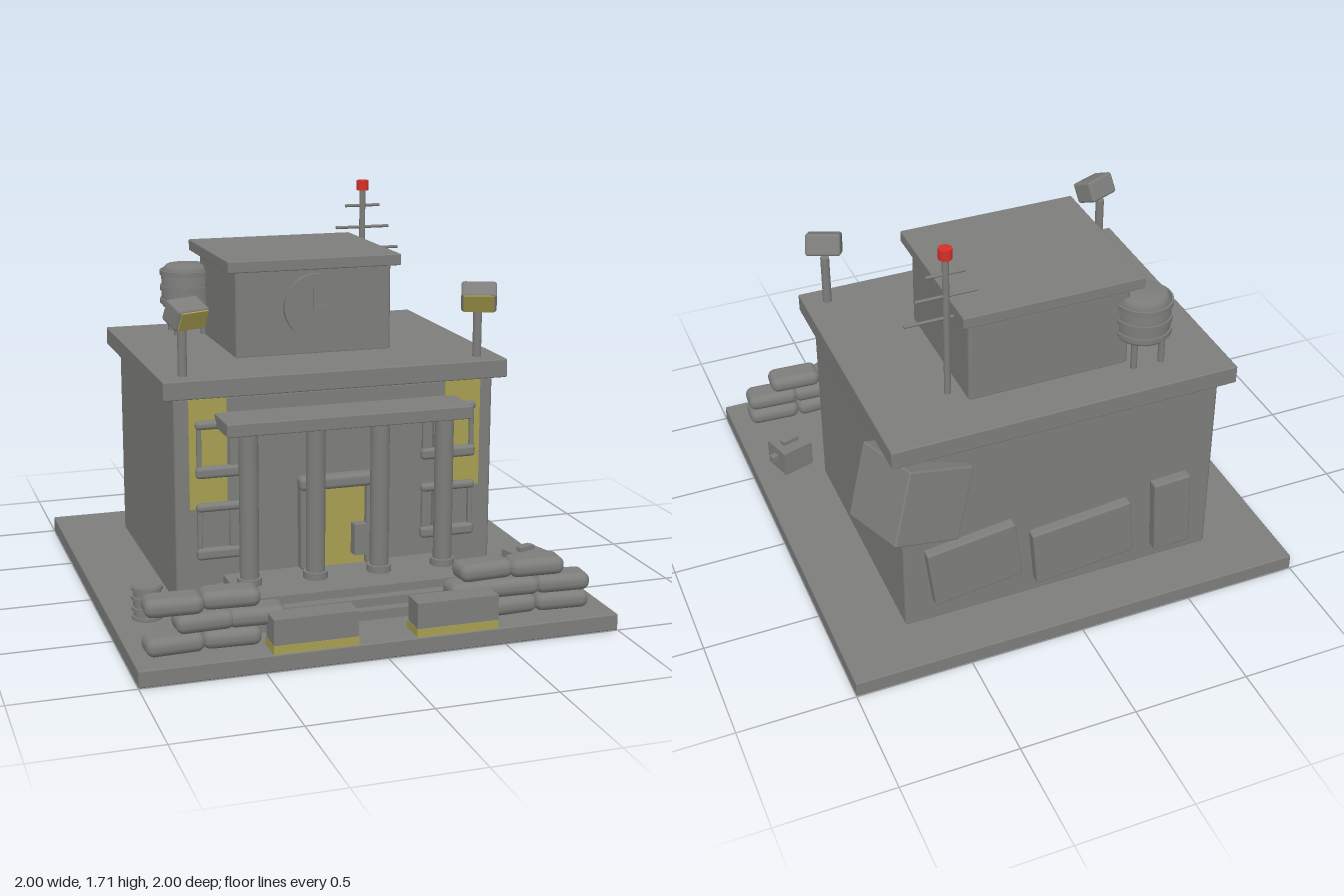
import * as THREE from 'three';
import { RoundedBoxGeometry } from 'three/addons/geometries/RoundedBoxGeometry.js';

export function createModel() {
  const root = new THREE.Group();
  root.name = 'civicBuilding';
  const material = (name, color) => {
    const m = new THREE.MeshStandardMaterial({ color });
    m.name = name;
    return m;
  };
  const gray = material('concreteGray', 0x7d7d7b);
  const yellow = material('dullYellow', 0xa89f50);
  const red = material('signalRed', 0xd62f28);

  const add = (name, geo, x, y, z, mat = gray, parent = root) => {
    const mesh = new THREE.Mesh(geo, mat);
    mesh.name = name;
    mesh.position.set(x, y, z);
    parent.add(mesh);
    return mesh;
  };
  // Box given by its limits on each axis; r > 0 rounds the edges
  const block = (name, x0, x1, y0, y1, z0, z1, r = 0, mat = gray) => {
    const s = [x1 - x0, y1 - y0, z1 - z0];
    const geo = r ? new RoundedBoxGeometry(...s, 2, r) : new THREE.BoxGeometry(...s);
    return add(name, geo, (x0 + x1) / 2, (y0 + y1) / 2, (z0 + z1) / 2, mat);
  };
  const cyl = (name, r, h, x, y, z, sides = 20, mat = gray, parent = root) =>
    add(name, new THREE.CylinderGeometry(r, r, h, sides), x, y, z, mat, parent);
  const group = (name, x, y, z) => {
    const g = new THREE.Group();
    g.name = name;
    g.position.set(x, y, z);
    root.add(g);
    return g;
  };

  // Ground slab, main hall and roof tower
  block('groundSlab', -1, 1, 0, 0.07, -1, 1, 0.006);
  block('mainHall', -0.7, 0.7, 0.06, 0.95, -0.76, 0.35, 0.015);
  block('mainRoof', -0.75, 0.75, 0.95, 1.03, -0.815, 0.39, 0.006);
  block('tower', -0.35, 0.35, 1.02, 1.41, -0.61, 0.03, 0.015);
  block('towerRoof', -0.39, 0.385, 1.4, 1.45, -0.65, 0.06, 0.005);

  // Clock
  cyl('clockFace', 0.14, 0.03, 0, 1.24, 0.035, 40).rotation.x = Math.PI / 2;
  block('minuteHand', -0.01, 0.005, 1.22, 1.33, 0.05, 0.058);
  block('hourHand', -0.01, 0.075, 1.225, 1.242, 0.05, 0.058);

  // Porch steps, columns and canopy
  [[0.585, 0.07, 0.11, 0.76], [0.53, 0.1, 0.145, 0.715], [0.5, 0.14, 0.18, 0.67]]
    .forEach(([w, y0, y1, z]) => block('porchStep', -w, w, y0, y1, 0.3, z));
  block('porchCanopy', -0.53, 0.525, 0.825, 0.88, 0.34, 0.56, 0.005);
  for (const x of [-0.425, -0.14, 0.14, 0.425]) {
    cyl('column', 0.04, 0.66, x, 0.5, 0.49, 24);
    cyl('columnBase', 0.052, 0.03, x, 0.195, 0.49, 24);
  }

  // Door with frame
  block('door', -0.115, 0.115, 0.18, 0.525, 0.34, 0.37, 0, yellow);
  block('doorLintel', -0.18, 0.18, 0.525, 0.585, 0.34, 0.41, 0.02);
  for (const s of [-1, 1]) block('doorJamb', s * 0.145 - 0.03, s * 0.145 + 0.03, 0.18, 0.54, 0.34, 0.4, 0.012);
  block('doorPlate', 0.055, 0.11, 0.23, 0.365, 0.36, 0.42);

  // Windows and painted wall strips, on both sides of the porch
  for (const s of [-1, 1]) {
    add('paintedStrip', new THREE.BoxGeometry(0.16, 0.465, 0.009), s * 0.56, 0.71, 0.354, yellow);
    for (const y of [0.635, 0.285]) {
      for (const [dy, h] of [[0, 0.05], [0.2, 0.036]])
        add('windowSill', new RoundedBoxGeometry(0.245, h, 0.04, 3, 0.016), s * 0.493, y + dy, 0.365);
      for (const x of [0.4, 0.45])
        add('windowShutter', new RoundedBoxGeometry(0.045, 0.18, 0.025, 2, 0.008), s * x, y + 0.1, 0.36);
      add('windowJamb', new RoundedBoxGeometry(0.02, 0.2, 0.025, 2, 0.006), s * 0.6, y + 0.1, 0.36);
    }
  }

  // Boards on the back wall
  for (const [x, y, w, h, tilt] of [[0.405, 0.34, 0.39, 0.28, -0.12], [-0.085, 0.295, 0.45, 0.27, -0.09], [-0.5, 0.325, 0.17, 0.36, -0.05]])
    add('backBoard', new RoundedBoxGeometry(w, h, 0.05, 2, 0.008), x, y, -0.785).rotation.z = tilt;

  // Tilted crate stuck into the rear corner
  const cornerCrate = add('cornerCrate', new RoundedBoxGeometry(0.32, 0.32, 0.32, 2, 0.008), 0.64, 0.735, -0.71);
  cornerCrate.quaternion.setFromRotationMatrix(new THREE.Matrix4().makeBasis(
    new THREE.Vector3(0.91, 0.34, -0.22).normalize(),
    new THREE.Vector3(-0.297, 0.926, 0.204).normalize(),
    new THREE.Vector3(0.28, -0.12, 0.95).normalize()));

  // Roof antenna
  const antenna = group('antenna', 0.41, 0, -0.53);
  cyl('mast', 0.014, 0.64, 0, 1.35, 0, 12, gray, antenna);
  cyl('beacon', 0.028, 0.045, 0, 1.683, 0, 16, red, antenna);
  for (const [y, w] of [[1.59, 0.165], [1.49, 0.255], [1.39, 0.35]])
    cyl('crossBar', 0.007, w, 0, y, 0, 8, gray, antenna).rotation.z = Math.PI / 2;

  // Water tank on four legs
  const tank = group('waterTank', -0.415, 0, -0.595);
  const tankProfile = [[0, 1.155], [0.11, 1.155], [0.115, 1.165], [0.115, 1.32], [0.09, 1.345], [0, 1.345]];
  add('tankBody', new THREE.LatheGeometry(tankProfile.map(p => new THREE.Vector2(...p)), 28), 0, 0, 0, gray, tank);
  for (const y of [1.18, 1.24, 1.31]) cyl('tankBand', 0.122, 0.022, 0, y, 0, 28, gray, tank);
  for (const sx of [-1, 1]) for (const sz of [-1, 1])
    cyl('tankLeg', 0.014, 0.14, sx * 0.062, 1.095, sz * 0.062, 10, gray, tank);

  // Floodlights on the front roof corners, turned inward
  for (const s of [-1, 1]) {
    const light = group('floodlight', s * 0.647, 1.03, 0.295);
    cyl('lightPole', 0.019, 0.22, 0, 0.11, 0, 14, gray, light);
    const head = new THREE.Group();
    head.name = 'lightHead';
    head.position.set(-s * 0.01, 0.265, 0.035);
    head.rotation.set(0.42, -s * 0.4, 0, 'YXZ');
    light.add(head);
    add('lightHousing', new RoundedBoxGeometry(0.15, 0.095, 0.105, 2, 0.012), 0, 0, 0, gray, head);
    add('lightLens', new THREE.BoxGeometry(0.13, 0.08, 0.009), 0, 0, 0.054, yellow, head);
  }

  // Concrete barriers with a yellow foot
  for (const s of [-1, 1]) {
    add('barrier', new THREE.BoxGeometry(0.345, 0.115, 0.105), s * 0.295, 0.1525, 0.942);
    add('barrierFoot', new THREE.BoxGeometry(0.347, 0.035, 0.119), s * 0.295, 0.087, 0.937, yellow);
  }

  // Sandbag walls: x, row, z, yaw
  const bag = new RoundedBoxGeometry(0.235, 0.075, 0.13, 4, 0.034);
  const bags = [
    [-0.83, 0, 0.85, 0.05], [-0.6, 0, 0.84, -0.05], [-0.71, 1, 0.845, 0.04], [-0.5, 1, 0.845, -0.06],
    [-0.83, 2, 0.85, -0.04], [-0.6, 2, 0.83, -0.07],
    [0.57, 0, 0.84, 0.05], [0.8, 0, 0.845, -0.05], [0.425, 1, 0.835, 0.03], [0.58, 1, 0.84, -0.04],
    [0.8, 1, 0.85, -0.06], [0.465, 2, 0.83, 0.07], [0.685, 2, 0.845, -0.05],
  ];
  for (const [x, row, z, yaw] of bags) add('sandbag', bag, x, 0.112 + row * 0.078, z).rotation.y = yaw;

  // Barrel
  const barrel = group('barrel', -0.85, 0.07, 0.465);
  cyl('barrelBody', 0.057, 0.145, 0, 0.0725, 0, 20, gray, barrel);
  for (const y of [0.012, 0.05, 0.095, 0.135]) cyl('barrelRib', 0.065, 0.014, 0, y, 0, 20, gray, barrel);

  // Small supply crate with a bar through it
  const crate = group('supplyCrate', 0.825, 0.07, 0.465);
  crate.rotation.y = 0.3;
  add('crateBody', new THREE.BoxGeometry(0.15, 0.12, 0.14), 0, 0.06, 0, gray, crate);
  add('crateBar', new THREE.BoxGeometry(0.21, 0.025, 0.03), 0, 0.07, 0, gray, crate);
  add('crateHandle', new THREE.BoxGeometry(0.08, 0.02, 0.028), 0, 0.13, 0, gray, crate);

  return root;
}
